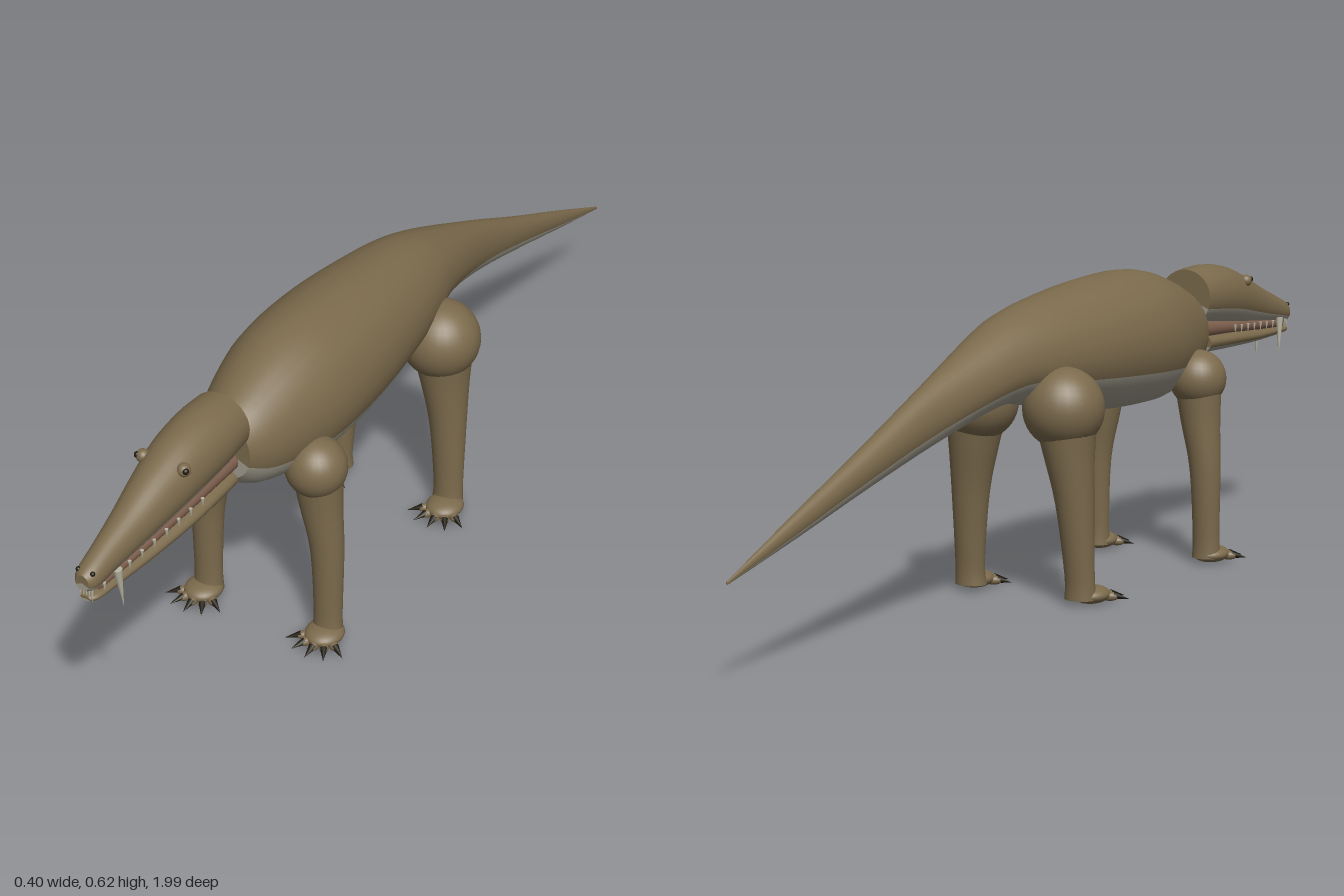
import * as THREE from 'three';

const mat = (name, color) => {
  const m = new THREE.MeshStandardMaterial({ color });
  m.name = name;
  return m;
};

const N = 32;          // sides of every lofted skin
const HIDE_COLS = 20;  // columns of hide, the rest is underside

// Smoothly resample a list of cross-sections
function resample(rows, steps) {
  const out = [], last = rows.length - 1;
  for (let i = 0; i < last; i++) {
    const p = [rows[Math.max(i - 1, 0)], rows[i], rows[i + 1], rows[Math.min(i + 2, last)]];
    for (let s = 0; s < steps; s++) {
      const t = s / steps;
      out.push(p[1].map((b, k) => {
        const a = p[0][k], c = p[2][k], d = p[3][k];
        return b + 0.5 * t * (c - a + t * (2 * a - 5 * b + 4 * c - d + t * (3 * (b - c) + d - a)));
      }));
    }
  }
  out.push(rows[last]);
  return out;
}

// Skin over rings; point(row, angle) gives a position. Group 0 hide, group 1 underside
function loft(rows, point) {
  const pos = [], hide = [], under = [];
  const start = -Math.PI / 8;
  const ring = (row) => {
    const base = pos.length / 3;
    for (let j = 0; j < N; j++) pos.push(...point(row, start + (j / N) * Math.PI * 2));
    return base;
  };
  const bases = rows.map(ring);
  for (let i = 0; i < rows.length - 1; i++) {
    for (let j = 0; j < N; j++) {
      const k = (j + 1) % N, a = bases[i], b = bases[i + 1];
      (j < HIDE_COLS ? hide : under).push(a + j, a + k, b + j, a + k, b + k, b + j);
    }
  }
  // Flat end caps with their own vertices
  [[rows[0], true], [rows[rows.length - 1], false]].forEach(([row, first]) => {
    const b = ring(row), c = pos.length / 3, mid = [0, 0, 0];
    for (let j = 0; j < N; j++) for (let k = 0; k < 3; k++) mid[k] += pos[(b + j) * 3 + k] / N;
    pos.push(...mid);
    for (let j = 0; j < N; j++) {
      const k = (j + 1) % N;
      (j < HIDE_COLS ? hide : under).push(c, b + (first ? k : j), b + (first ? j : k));
    }
  });
  const g = new THREE.BufferGeometry();
  g.setAttribute('position', new THREE.Float32BufferAttribute(pos, 3));
  g.setIndex([...hide, ...under]);
  g.addGroup(0, hide.length, 0);
  g.addGroup(hide.length, under.length, 1);
  g.computeVertexNormals();
  return g;
}

// Rows along z: [z, half width, top, middle, bottom]
const alongZ = (rows, steps = 4) => loft(resample(rows, steps), ([z, w, top, mid, bot], a) => {
  const s = Math.sin(a);
  return [w * Math.cos(a), mid + s * (s > 0 ? top - mid : mid - bot), z];
});

// Rows up y: [y, x, z, x radius, z radius]
const alongY = (rows) => loft(resample(rows, 4), ([y, x, z, rx, rz], a) =>
  [x + rx * Math.cos(a), y, z - rz * Math.sin(a)]);

export function createModel() {
  const model = new THREE.Group();
  model.name = 'reptile';
  const hide = mat('brown hide', 0x7b6a4c);
  const belly = mat('grey belly', 0xa09b8d);
  const ivory = mat('ivory tooth', 0xb9b4a2);
  const claw = mat('dark claw', 0x1f1a10);
  const gum = mat('mouth lining', 0x80604e);

  const add = (name, geo, material, parent = model) => {
    const m = new THREE.Mesh(geo, material);
    m.name = name;
    parent.add(m);
    return m;
  };
  const ball = (name, r, p, s, material, parent) => {
    const m = add(name, new THREE.SphereGeometry(r, 28, 20), material, parent);
    m.position.set(...p);
    m.scale.set(...s);
    return m;
  };
  // Cone running from a base point to a tip
  const spike = (name, from, to, r, material, parent) => {
    const a = new THREE.Vector3(...from), d = new THREE.Vector3(...to).sub(a);
    const m = add(name, new THREE.ConeGeometry(r, d.length(), 10), material, parent);
    m.position.copy(a).addScaledVector(d, 0.5);
    m.quaternion.setFromUnitVectors(new THREE.Vector3(0, 1, 0), d.normalize());
  };

  // Trunk and tail in one skin
  add('bodyAndTail', alongZ([
    [-0.995, 0.002, 0.198, 0.195, 0.192],
    [-0.8, 0.014, 0.287, 0.265, 0.243],
    [-0.6, 0.026, 0.375, 0.338, 0.298],
    [-0.4, 0.041, 0.467, 0.405, 0.35],
    [-0.2, 0.077, 0.55, 0.465, 0.397],
    [-0.1, 0.099, 0.58, 0.475, 0.39],
    [0, 0.116, 0.597, 0.475, 0.368],
    [0.15, 0.131, 0.615, 0.475, 0.347],
    [0.3, 0.132, 0.621, 0.47, 0.339],
    [0.4, 0.117, 0.604, 0.468, 0.343],
    [0.5, 0.087, 0.567, 0.468, 0.37],
    [0.55, 0.058, 0.54, 0.475, 0.41],
  ]), [hide, belly]);

  // Skull with upper jaw
  const head = new THREE.Group();
  head.name = 'head';
  model.add(head);
  add('skull', alongZ([
    [0.553, 0.061, 0.598, 0.54, 0.478],
    [0.62, 0.064, 0.603, 0.535, 0.473],
    [0.7, 0.06, 0.594, 0.527, 0.464],
    [0.78, 0.05, 0.568, 0.51, 0.456],
    [0.86, 0.038, 0.536, 0.491, 0.45],
    [0.93, 0.029, 0.511, 0.476, 0.446],
    [0.98, 0.024, 0.492, 0.466, 0.442],
    [0.997, 0.014, 0.482, 0.465, 0.45],
  ]), [hide, belly], head);
  add('mouthLining', alongZ([
    [0.57, 0.045, 0.5, 0.47, 0.44],
    [0.8, 0.033, 0.475, 0.455, 0.435],
    [0.965, 0.016, 0.455, 0.442, 0.43],
  ]), [gum, gum], head);
  add('lowerJaw', alongZ([
    [0.58, 0.05, 0.463, 0.44, 0.414],
    [0.7, 0.049, 0.456, 0.436, 0.413],
    [0.82, 0.038, 0.447, 0.43, 0.413],
    [0.93, 0.025, 0.438, 0.428, 0.416],
    [0.975, 0.02, 0.436, 0.428, 0.419],
    [0.99, 0.01, 0.433, 0.428, 0.423],
  ]), [hide, belly], head);

  for (const s of [-1, 1]) {
    ball('eye', 0.013, [s * 0.043, 0.56, 0.74], [1, 1, 1], hide, head);
    ball('pupil', 0.006, [s * 0.051, 0.563, 0.746], [1, 1, 1], claw, head);
    ball('nostril', 0.0045, [s * 0.015, 0.483, 0.985], [1, 1, 1], claw, head);
    spike('fang', [s * 0.026, 0.46, 0.928], [s * 0.029, 0.373, 0.92], 0.0085, ivory, head);
    // Small side teeth
    for (let i = 0; i < 9; i++) {
      const z = 0.69 + i * 0.034, x = s * (0.046 - i * 0.0031);
      spike('upperTooth', [x, 0.468 - i * 0.002, z], [x, 0.448 - i * 0.002, z], 0.0035, ivory, head);
    }
  }
  for (let i = -2; i <= 2; i++) {
    spike('frontTooth', [i * 0.006, 0.45, 0.985], [i * 0.006, 0.422, 0.988], 0.003, ivory, head);
  }

  // Legs: joint ball, tapering limb, foot, toes and claws
  const makeLeg = (name, s, joint, r, limb, footZ) => {
    const leg = new THREE.Group();
    leg.name = name;
    model.add(leg);
    ball('joint', r, [s * joint[0], joint[1], joint[2]], [1, 1, 1], hide, leg);
    add('limb', alongY(limb.map(([y, x, ...rest]) => [y, s * x, ...rest])), [hide, hide], leg);
    const fx = 0.138;
    ball('foot', 1, [s * fx, 0.018, footZ], [0.038, 0.018, 0.042], hide, leg);
    for (let i = -2; i <= 2; i++) {
      const a = i * 0.5, dx = Math.sin(a), dz = Math.cos(a);
      const at = (d, y) => [s * fx + dx * d, y, footZ + dz * d];
      const toe = ball('toe', 1, at(0.038, 0.013), [0.009, 0.009, 0.018], hide, leg);
      toe.rotation.y = a;
      spike('claw', at(0.045, 0.015), at(0.076, 0.008), 0.0075, claw, leg);
    }
  };
  for (const s of [-1, 1]) {
    const side = s > 0 ? 'Left' : 'Right';
    makeLeg('front' + side + 'Leg', s, [0.113, 0.39, 0.412], 0.06, [
      [0.012, 0.136, 0.415, 0.031, 0.028],
      [0.06, 0.136, 0.413, 0.029, 0.025],
      [0.2, 0.134, 0.41, 0.033, 0.031],
      [0.3, 0.122, 0.41, 0.042, 0.039],
      [0.38, 0.115, 0.411, 0.05, 0.047],
    ], 0.43);
    makeLeg('rear' + side + 'Leg', s, [0.1, 0.39, -0.085], 0.081, [
      [0.012, 0.13, -0.07, 0.033, 0.029],
      [0.06, 0.13, -0.073, 0.031, 0.027],
      [0.2, 0.123, -0.08, 0.038, 0.038],
      [0.3, 0.112, -0.084, 0.05, 0.052],
      [0.38, 0.104, -0.085, 0.064, 0.064],
    ], -0.045);
  }
  return model;
}
